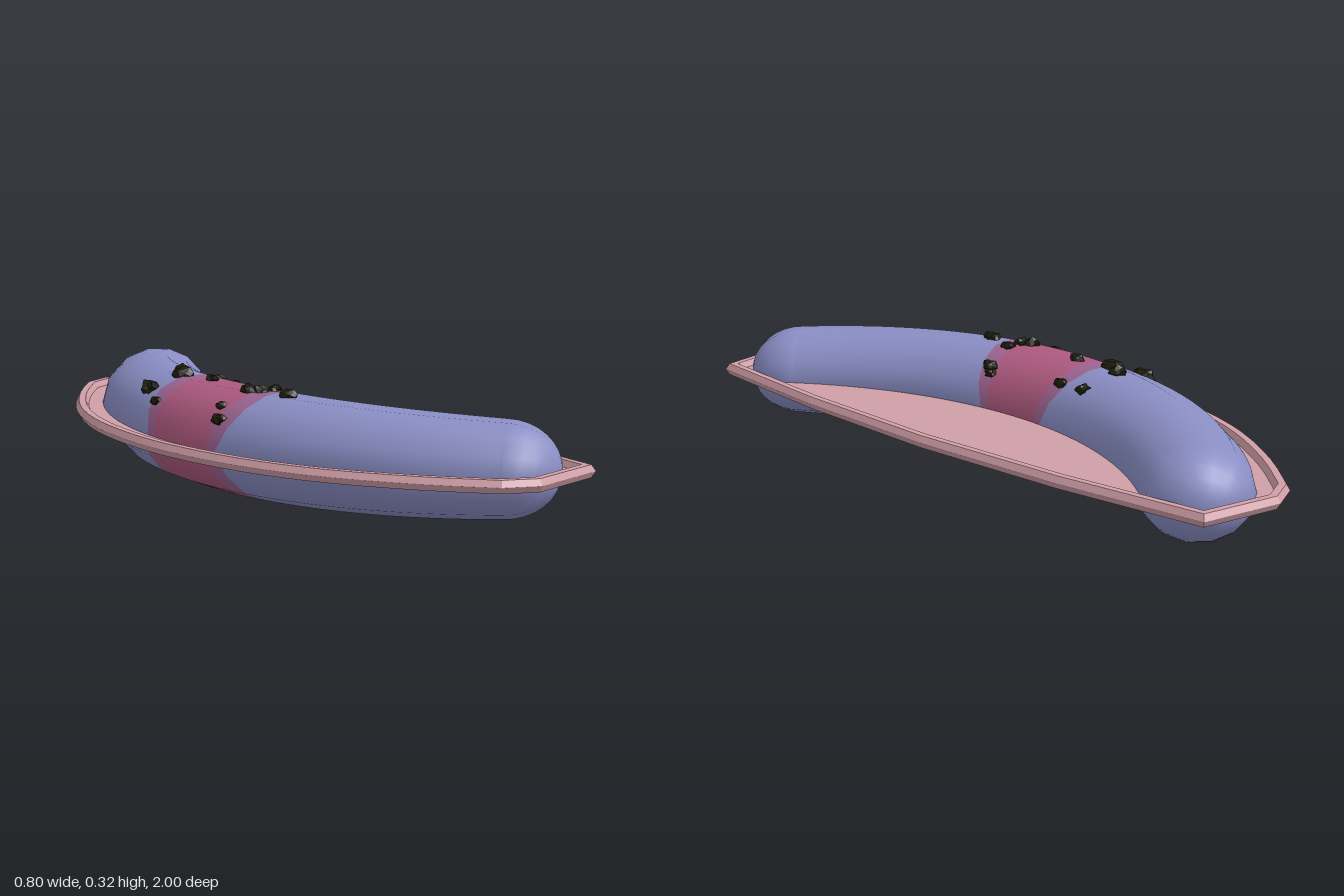
import * as THREE from 'three';
import { ParametricGeometry } from 'three/addons/geometries/ParametricGeometry.js';

const MID_Y = 0.147, ARC_R = 1.2, ARC_X = 1.065, ARC_END = 0.719;

const material = (name, color, side = THREE.FrontSide) => {
  const m = new THREE.MeshStandardMaterial({ color, side });
  m.name = name;
  return m;
};

// Surface of the curved rod: p in -1..1 runs along the arc, 1..2 over a rounded end.
function rodPoint(p, theta, target) {
  const t = THREE.MathUtils.clamp(p, -1, 1);
  const cap = (p - t) * Math.PI / 2;
  const a = t * ARC_END;
  const rw = (0.18 - 0.03 * t * t) * Math.cos(cap);
  const rh = (0.151 - 0.021 * t * t) * Math.cos(cap);
  const forward = 0.15 * Math.sin(cap);
  const radius = ARC_R - rw * Math.cos(theta);
  return target.set(
    ARC_X - radius * Math.cos(a) + forward * Math.sin(a),
    MID_Y + rh * Math.sin(theta),
    radius * Math.sin(a) + forward * Math.cos(a)
  );
}

// Patch of the rod between two limits, which may vary around the section.
function rodPatch(from, to, stacks) {
  return new ParametricGeometry((u, v, target) => {
    const theta = u * Math.PI * 2;
    const a = from(theta), b = to(theta);
    rodPoint(a + (b - a) * v, theta, target);
  }, 14, stacks);
}

// Moves a closed outline inward by d with mitred corners.
function inset(points, d) {
  const n = points.length;
  return points.map((p, i) => {
    const d1 = p.clone().sub(points[(i + n - 1) % n]).normalize();
    const d2 = points[(i + 1) % n].clone().sub(p).normalize();
    const n1 = new THREE.Vector2(-d1.y, d1.x), n2 = new THREE.Vector2(-d2.y, d2.x);
    const m = n1.clone().add(n2).normalize();
    return p.clone().addScaledVector(m, d / m.dot(n1));
  });
}

// Irregular low-poly lump, shaped by a seed.
function lumpGeometry(r, seed) {
  const g = new THREE.IcosahedronGeometry(r, 1);
  const pos = g.attributes.position, v = new THREE.Vector3();
  for (let i = 0; i < pos.count; i++) {
    v.fromBufferAttribute(pos, i);
    const k = 1 + 0.16 * Math.sin(v.x / r * 5 + seed * 2.1) + 0.16 * Math.sin(v.z / r * 6 + v.y / r * 4 + seed);
    pos.setXYZ(i, v.x * k * 0.9, v.y * k * 0.75, v.z * k * 1.1);
  }
  g.computeVertexNormals();
  return g;
}

export function createModel() {
  const group = new THREE.Group();
  const add = (name, geometry, mat) => {
    const mesh = new THREE.Mesh(geometry, mat);
    mesh.name = name;
    group.add(mesh);
    return mesh;
  };

  const blue = material('blue body', 0x8a8ec4);
  const mauve = material('mauve band edge', 0x9d6592);
  const rose = material('rose band', 0xae5a80);
  const pink = material('pink sheet', 0xcf9ea6, THREE.DoubleSide);
  const dark = material('dark lumps', 0x1e1e0e);
  dark.flatShading = true;

  // Curved rod with a two-tone band around its middle
  const outer = (a) => 0.16 + 0.07 * Math.abs(Math.sin(a));
  const core = (a) => 0.125 + 0.035 * Math.abs(Math.sin(a));
  const at = (value) => () => value;
  const minus = (f) => (a) => -f(a);
  add('bandCore', rodPatch(minus(core), core, 6), rose);
  add('bandEdgeFront', rodPatch(core, outer, 2), mauve);
  add('bandEdgeBack', rodPatch(minus(outer), minus(core), 2), mauve);
  add('bodyFront', rodPatch(outer, at(1), 14), blue);
  add('bodyBack', rodPatch(at(-1), minus(outer), 14), blue);
  add('endFront', rodPatch(at(1), at(1.995), 8), blue);
  add('endBack', rodPatch(at(-1.995), at(-1), 8), blue);

  // D-shaped outline, as x and z
  const half = [[-0.385, 0.2], [-0.343, 0.4], [-0.262, 0.6], [-0.135, 0.8], [-0.005, 0.955]];
  const bow = new THREE.SplineCurve([
    ...half.map(([x, z]) => new THREE.Vector2(x, z)).reverse(),
    new THREE.Vector2(-0.4, 0),
    ...half.map(([x, z]) => new THREE.Vector2(x, -z))
  ]).getPoints(30);
  const side = [[0.09, -1], [0.328, -0.955], [0.377, -0.5], [0.398, 0],
    [0.377, 0.5], [0.328, 0.955], [0.09, 1]].map(([x, z]) => new THREE.Vector2(x, z));
  const outline = [...bow, ...side];

  // Thin sheet
  const sheet = new THREE.ShapeGeometry(new THREE.Shape(inset(outline, 0.02)));
  sheet.rotateX(Math.PI / 2).translate(0, MID_Y, 0);
  add('sheet', sheet, pink);

  // Six-sided rim around the sheet
  const ring = new THREE.Shape(inset(outline, 0.01));
  ring.holes.push(new THREE.Path(inset(outline, 0.03)));
  const rim = new THREE.ExtrudeGeometry(ring, {
    depth: 0.001, bevelEnabled: true, bevelSegments: 1, bevelSize: 0.01, bevelThickness: 0.017
  });
  rim.translate(0, 0, -0.0005).rotateX(Math.PI / 2).translate(0, MID_Y, 0);
  add('rim', rim, pink);

  // Dark lumps resting on the upper surface: x, z, radius
  const lumps = [
    [-0.225, -0.26, 0.03], [-0.265, -0.175, 0.016], [-0.14, -0.22, 0.031], [-0.11, -0.265, 0.026],
    [0, -0.237, 0.02], [-0.01, -0.143, 0.02], [-0.13, -0.09, 0.021], [-0.275, 0.14, 0.02],
    [-0.245, 0.11, 0.016], [-0.158, 0.118, 0.026], [-0.142, 0.145, 0.022], [-0.092, 0.152, 0.022],
    [-0.005, 0.135, 0.022], [0.01, 0.118, 0.016], [-0.125, 0.25, 0.024]
  ];
  lumps.forEach(([x, z, r], i) => {
    const c = (x - (z * z / (2 * ARC_R) - 0.135)) / 0.18;
    const y = MID_Y + 0.148 * Math.sqrt(Math.max(0.05, 1 - c * c));
    add('lump' + (i + 1), lumpGeometry(r, i + 1), dark).position.set(x, y, z);
  });

  return group;
}
